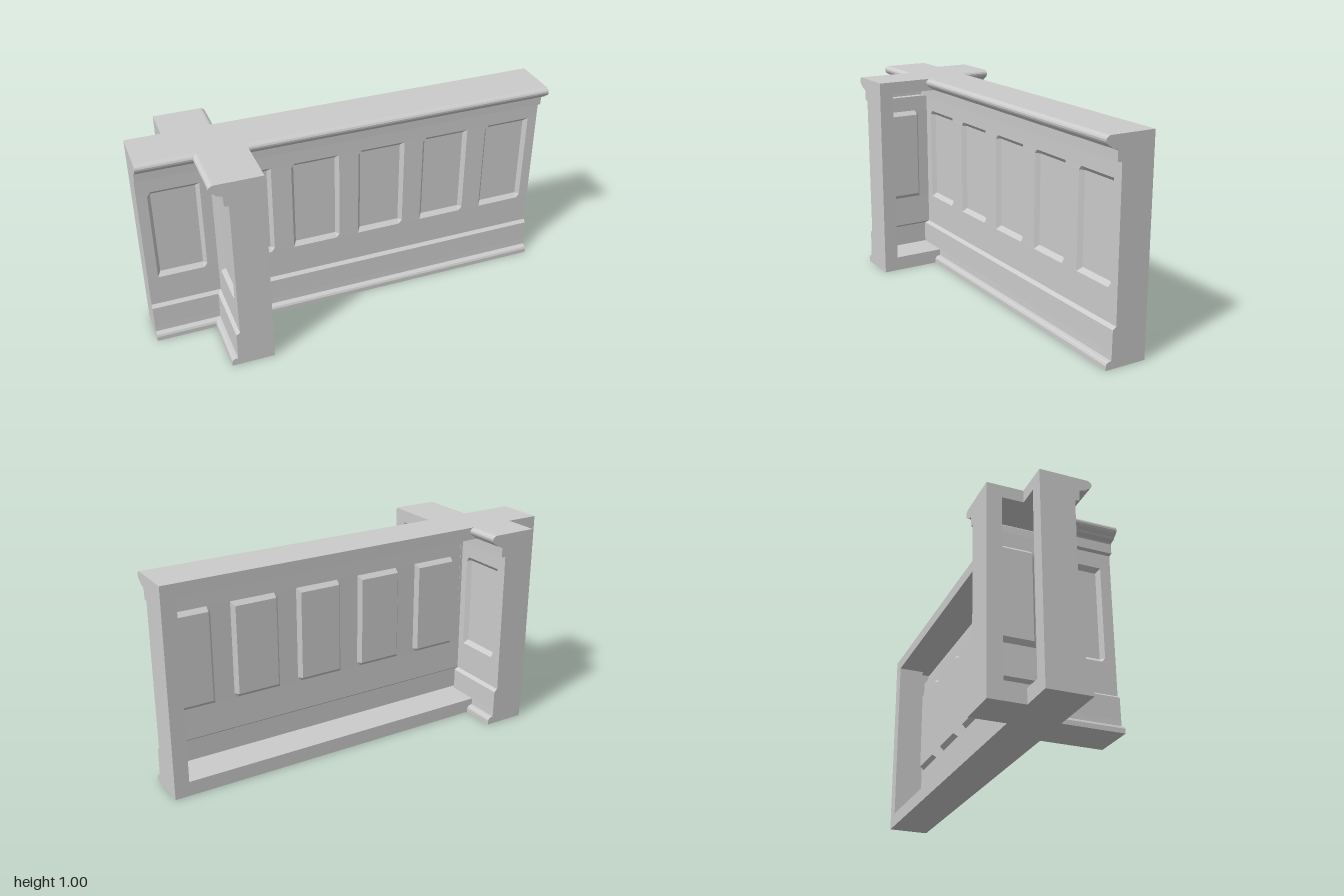
import * as THREE from 'three';

const T = 0.165;                                   // wall depth behind the face line
const material = new THREE.MeshStandardMaterial({ color: 0xcccccc, side: THREE.DoubleSide });

// Moulding sections as [depth, height], depth measured from the face line
const base = [[0.04, 0], [0.04, 0.022], [0.035, 0.032], [0.028, 0.036], [0.012, 0.038], [0.011, 0.07]];
const middle = [[0.011, 0.07], [0.01, 0.175], [-0.007, 0.188], [-0.006, 0.34], [-0.006, 0.36],
  [-0.005, 0.79], [-0.005, 0.81], [-0.004, 0.885], [0.016, 0.888], [0.018, 0.935], [0.022, 0.94]];
const crown = [[0.022, 0.94], [0.046, 0.946], [0.052, 0.954], [0.062, 0.959], [0.071, 0.966], [0.076, 0.975],
  [0.077, 0.984], [0.073, 0.992], [0.064, 0.998], [0.056, 1]];

const PITCH = 1 / 3, HALF = 0.118, BEVEL = 0.016, RECESS = 0.02;

function add(group, geometry, name) {
  const mesh = new THREE.Mesh(geometry, material);
  mesh.name = name;
  group.add(mesh);
}

// Solid moulding: a section closed at the wall's back, run from u0 to u1
function moulding(section, u0, u1) {
  const shape = new THREE.Shape();
  shape.moveTo(0, section[0][1]);
  section.forEach(([d, y]) => shape.lineTo(T + d, y));
  shape.lineTo(0, section[section.length - 1][1]);
  const g = new THREE.ExtrudeGeometry(shape, { depth: u1 - u0, bevelEnabled: false });
  return g.rotateY(-Math.PI / 2).translate(u1, 0, 0);
}

// Thin face with a row of sunken, bevelled panels
function panelFace(u0, u1, centres) {
  const columns = [u0];
  for (const c of centres) {
    columns.push(c - HALF, c - HALF + BEVEL, c + HALF - BEVEL, c + HALF);
  }
  columns.push(u1);
  const positions = [], index = [];
  const n = columns.length;
  middle.forEach(([d, y], j) => columns.forEach((u, i) => {
    const inside = y > 0.35 && y < 0.8 && centres.some((c) => Math.abs(u - c) < HALF - BEVEL / 2);
    positions.push(u, y, T + d - (inside ? RECESS : 0));
    if (j && i) {
      const a = (j - 1) * n + i - 1, b = a + 1, c = a + n, e = c + 1;
      index.push(a, b, e, a, e, c);
    }
  }));
  const g = new THREE.BufferGeometry();
  g.setAttribute('position', new THREE.Float32BufferAttribute(positions, 3));
  g.setIndex(index);
  const flat = g.toNonIndexed();
  flat.computeVertexNormals();
  return flat;
}

// One wall along local x, moulded face to +z and open framed back at z = 0
function wall(name, u0, u1, centres, closedStart) {
  const group = new THREE.Group();
  group.name = name;
  const CAP = 0.03, POST = 0.07;
  const full = [...base, ...middle.slice(1), ...crown.slice(1)];
  const f0 = closedStart ? u0 + CAP : u0, f1 = u1 - CAP;
  add(group, moulding(base, f0, f1), 'bottomRail');
  add(group, moulding(crown, f0, f1), 'topRail');
  add(group, panelFace(f0, f1, centres), 'panelFace');

  // End posts: a moulded cap plus the frame jamb behind the face
  const ends = closedStart ? [[u0, 1], [u1, -1]] : [[u1, -1]];
  for (const [u, dir] of ends) {
    const inner = u + dir * CAP;
    add(group, moulding(full, Math.min(u, inner), Math.max(u, inner)), 'endCap');
    const depth = T - 0.03;
    const jamb = new THREE.BoxGeometry(POST - CAP, 0.88, depth);
    jamb.translate(u + dir * (CAP + POST) / 2, 0.505, depth / 2);
    add(group, jamb, 'frameJamb');
  }
  return group;
}

export function createModel() {
  const model = new THREE.Group();
  model.name = 'panelledWall';

  // Long wall with six panels
  const centres = Array.from({ length: 6 }, (_, i) => (i - 2.5) * PITCH);
  const main = wall('mainWall', -1, 1, centres, true);
  main.position.z = -T;
  model.add(main);

  // Short return in front, moulded face to -x
  const front = wall('frontReturn', -0.006, 0.335, [PITCH / 2], false);
  front.position.x = -0.505;
  front.rotation.y = -Math.PI / 2;
  model.add(front);

  // Short return behind, moulded face to +x
  const back = wall('backReturn', 0.01, 0.335, [PITCH / 2], false);
  back.position.x = -0.835;
  back.rotation.y = Math.PI / 2;
  model.add(back);

  return model;
}
